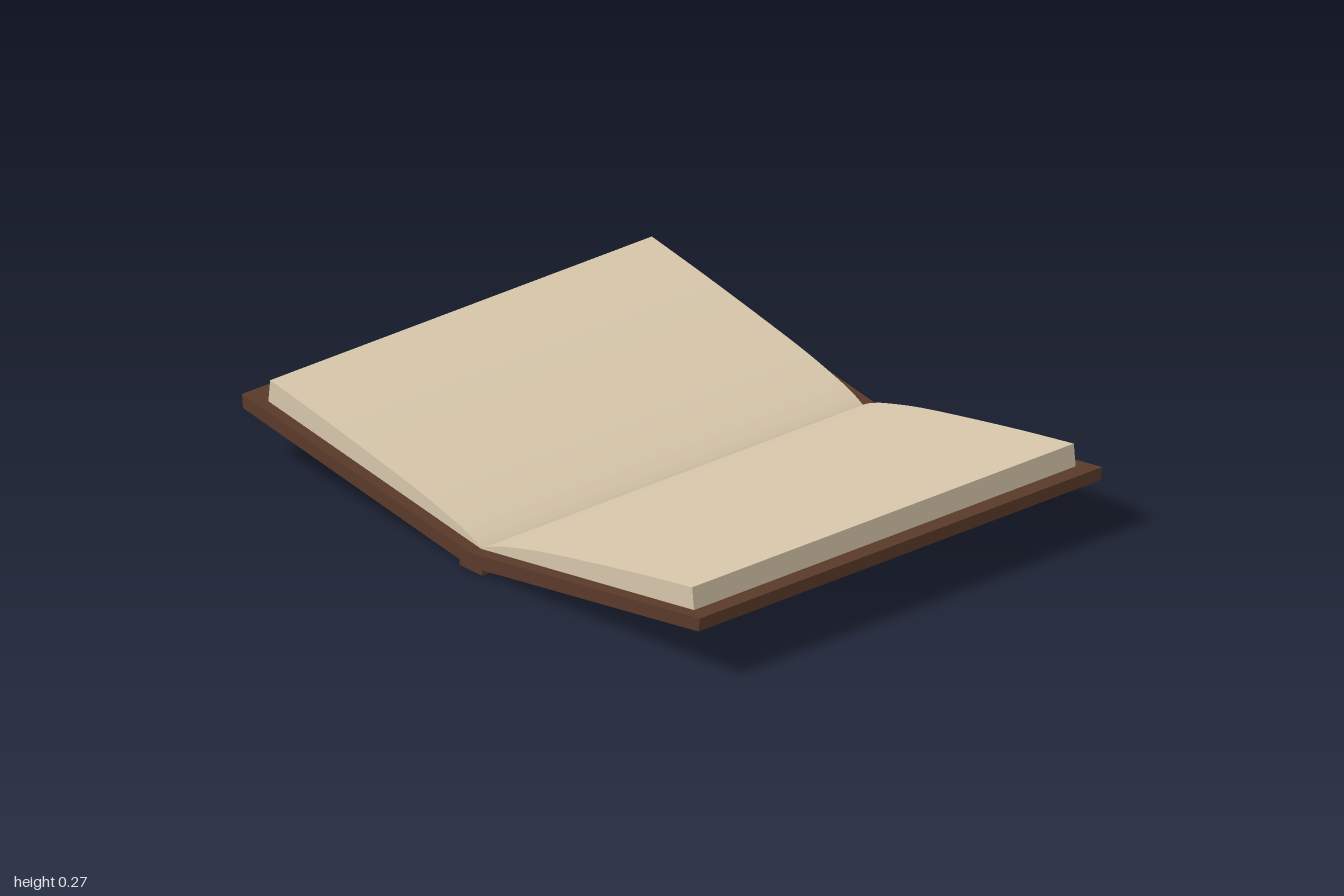
import * as THREE from 'three';

const leather = new THREE.MeshStandardMaterial({ color: 0x5a3a2a });
leather.name = 'brown leather';
const paper = new THREE.MeshStandardMaterial({ color: 0xd6c6aa });
paper.name = 'cream paper';

// Extrude a (z, y) profile along x, centred on x = 0
function slab(name, shape, width, material) {
  const geometry = new THREE.ExtrudeGeometry(shape, { depth: width, bevelEnabled: false, curveSegments: 20 });
  geometry.translate(0, 0, -width / 2);
  geometry.rotateY(-Math.PI / 2);
  const mesh = new THREE.Mesh(geometry, material);
  mesh.name = name;
  return mesh;
}

// One half of the open book: side is +1 towards the front, -1 towards the back
function half(side, label, lift) {
  const group = new THREE.Group();
  group.name = label + 'Half';
  const at = (z, y) => new THREE.Vector2(side * z, y + lift * z);

  // Tilted cover board
  const cover = new THREE.Shape([at(0, 0.01), at(0.995, 0.157), at(1, 0.2), at(0, 0.055)]);
  group.add(slab(label + 'Cover', cover, 1.55, leather));

  // Page block, curving down into the gutter
  const pages = new THREE.Shape();
  const start = at(0, 0.056), low = at(0.93, 0.19), high = at(0.922, 0.26);
  pages.moveTo(start.x, start.y);
  pages.lineTo(low.x, low.y);
  pages.lineTo(high.x, high.y);
  pages.splineThru([at(0.7, 0.223), at(0.46, 0.179), at(0.25, 0.137), at(0.1, 0.098),
    at(0.04, 0.077), at(0.012, 0.064), at(0, 0.057)]);
  group.add(slab(label + 'Pages', pages, 1.47, paper));
  return group;
}

export function createModel() {
  const book = new THREE.Group();
  book.name = 'openBook';
  book.add(half(1, 'front', 0), half(-1, 'back', 0.009));

  // Spine strip under the fold
  const spine = new THREE.Mesh(new THREE.BoxGeometry(1.55, 0.045, 0.1), leather);
  spine.name = 'spine';
  spine.position.y = 0.0225;
  book.add(spine);
  return book;
}
